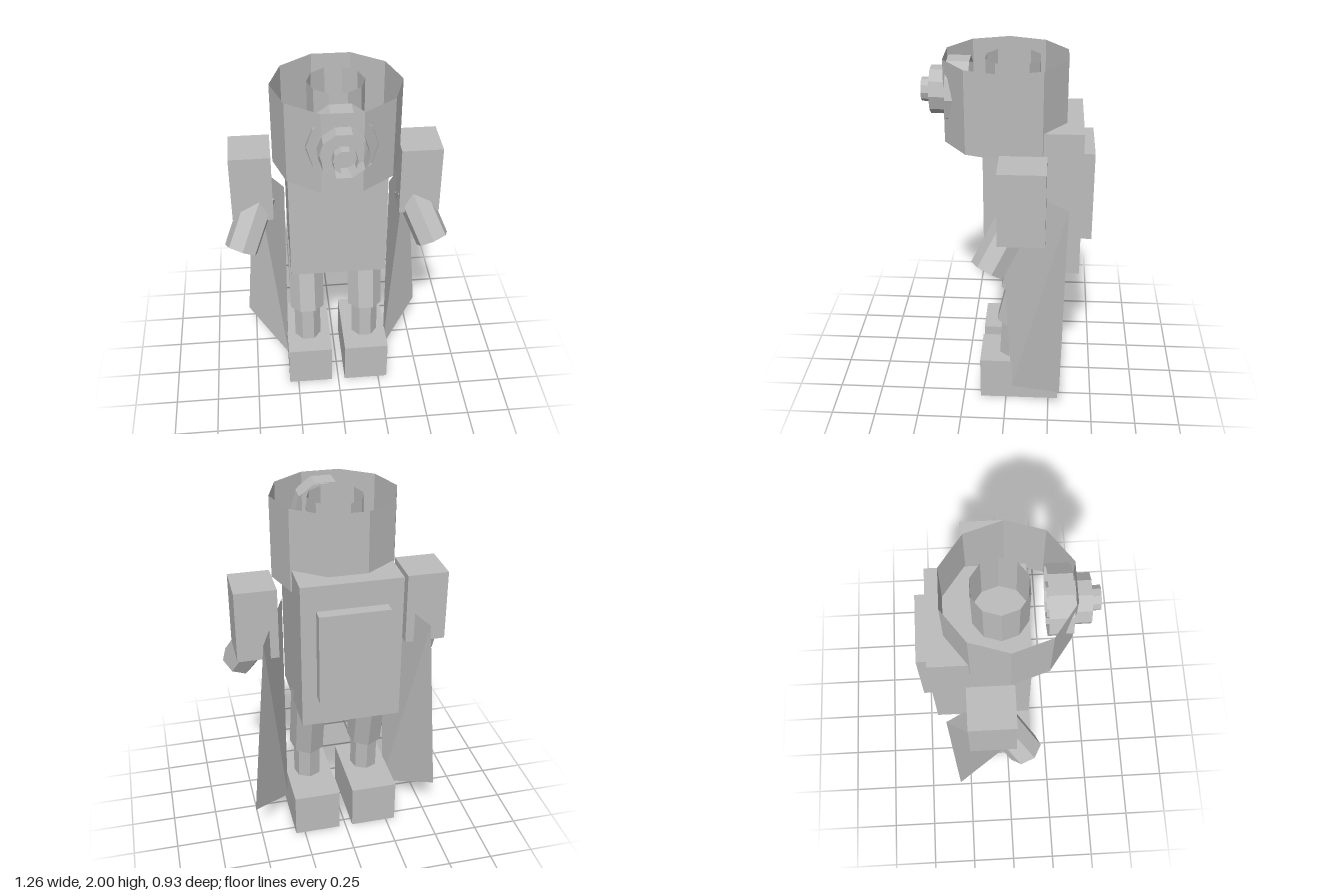
import * as THREE from 'three';

export function createModel() {
  const root = new THREE.Group();
  const grey = new THREE.MeshStandardMaterial({ color: 0xbcbcbc, flatShading: true, side: THREE.DoubleSide });
  grey.name = 'plain grey';

  const add = (name, geometry) => {
    const mesh = new THREE.Mesh(geometry, grey);
    mesh.name = name;
    root.add(mesh);
    return mesh;
  };

  // Box given by its low and high corners
  const box = (name, lo, hi) => {
    const size = hi.map((v, i) => v - lo[i]);
    add(name, new THREE.BoxGeometry(...size)).position.set(...lo.map((v, i) => v + size[i] / 2));
  };

  // Open faceted tube running from point a to point b
  const tube = (name, a, b, radius, sides, spin = 0) => {
    const start = new THREE.Vector3(...a), end = new THREE.Vector3(...b);
    const axis = end.clone().sub(start);
    const mesh = add(name, new THREE.CylinderGeometry(radius, radius, axis.length(), sides, 1, true, spin));
    mesh.position.copy(start).add(end).multiplyScalar(0.5);
    mesh.quaternion.setFromUnitVectors(new THREE.Vector3(0, 1, 0), axis.normalize());
  };

  // Torso and back panel
  box('torso', [-0.268, 0.85, -0.402], [0.268, 1.67, 0.12]);
  box('backPanel', [-0.187, 1.025, -0.465], [0.187, 1.53, -0.39]);

  // Hollow head with inner neck tube
  const half = Math.PI / 10;
  tube('head', [0, 1.55, 0.01], [0, 2, 0.01], 0.34, 10, half);
  tube('neck', [0, 1.55, -0.025], [0, 1.99, -0.025], 0.15, 10, half);

  // Stepped eyepiece: z start, z end, radius
  const steps = [[0.195, 0.32, 0.09], [0.2, 0.32, 0.18], [0.32, 0.41, 0.127], [0.41, 0.46, 0.063]];
  for (const [z0, z1, r] of steps) tube('eyepiece', [0, 1.805, z0], [0, 1.805, z1], r, 10, half);

  for (const s of [1, -1]) {
    const side = s > 0 ? 'left' : 'right';
    const sideBox = (name, x0, x1, y0, y1, z0, z1) =>
      box(side + name, [Math.min(s * x0, s * x1), y0, z0], [Math.max(s * x0, s * x1), y1, z1]);

    // Arms
    sideBox('UpperArm', 0.35, 0.575, 1.18, 1.58, -0.215, 0.03);
    tube(side + 'Forearm', [s * 0.42, 1.285, -0.07], [s * 0.54, 1.02, 0.08], 0.096, 7);

    // Legs
    tube(side + 'Thigh', [s * 0.175, 0.92, -0.14], [s * 0.175, 0.475, -0.04], 0.103, 7);
    tube(side + 'Shin', [s * 0.175, 0.47, -0.045], [s * 0.175, 0.2, -0.03], 0.08, 7);
    sideBox('Foot', 0.04, 0.303, 0, 0.26, -0.303, 0.15);

    // Cloak panel: a folded four-cornered sheet
    const sheet = new THREE.BufferGeometry();
    const topFront = [s * 0.285, 1.4, 0.04], topBack = [s * 0.45, 1.33, -0.33];
    const lowBack = [s * 0.537, 0.235, -0.31], lowFront = [s * 0.302, 0.08, -0.035];
    sheet.setAttribute('position', new THREE.Float32BufferAttribute(
      [topFront, lowFront, topBack, topBack, lowFront, lowBack].flat(), 3));
    if (s < 0) sheet.setIndex([0, 2, 1, 3, 5, 4]);
    sheet.computeVertexNormals();
    add(side + 'CloakPanel', sheet);
  }
  return root;
}
